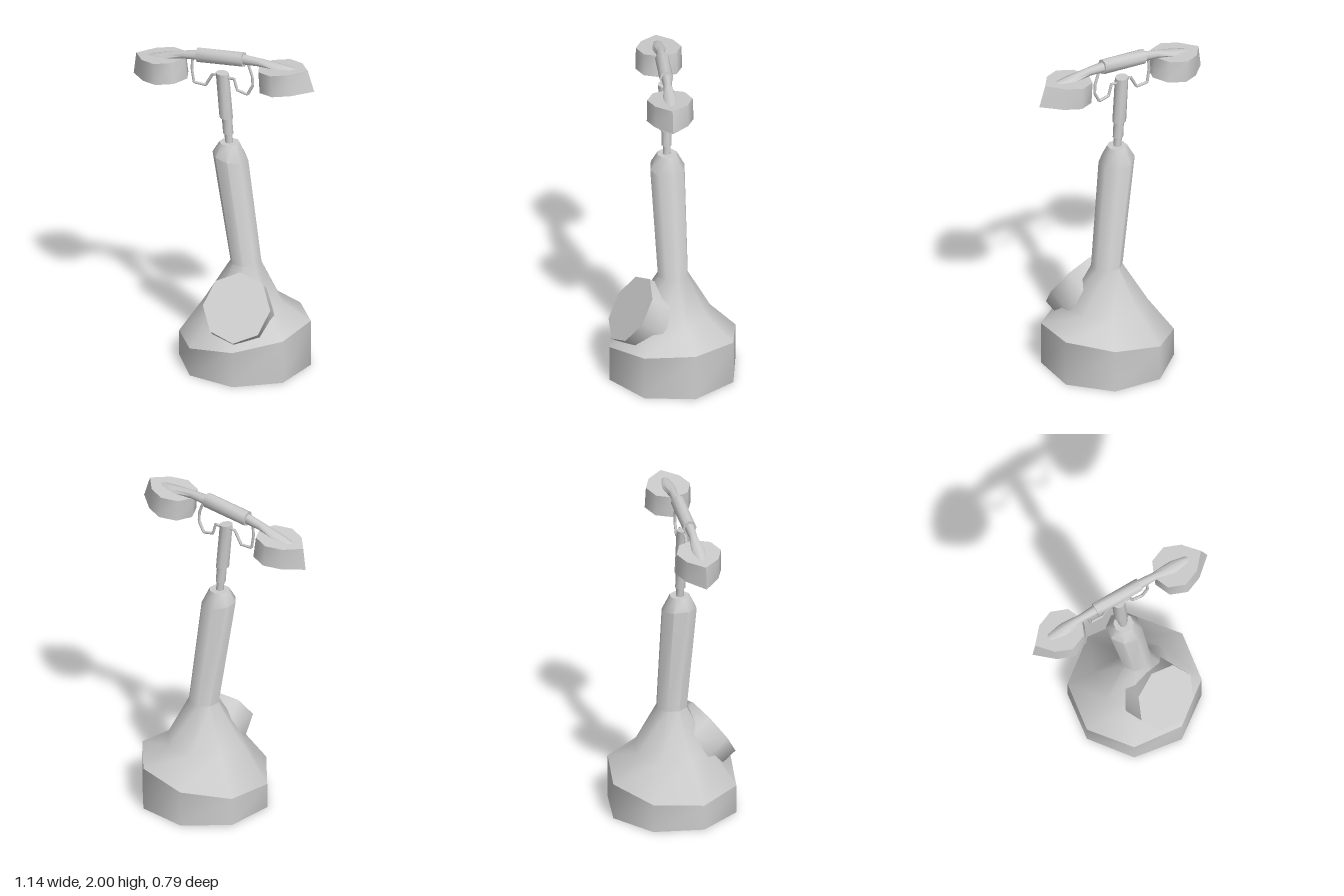
import * as THREE from 'three';
import { toCreasedNormals } from 'three/addons/utils/BufferGeometryUtils.js';

const SIDES = 8;
const CREASE = 0.9;

// Skin closed rings of points, listed bottom to top, and cap both ends
function loft(rings) {
  const n = rings[0].length;
  const pos = [];
  const tri = (a, b, c) => pos.push(...a, ...b, ...c);
  const middle = (ring) => [0, 1, 2].map((k) => ring.reduce((s, p) => s + p[k], 0) / n);
  const first = rings[0], last = rings[rings.length - 1];
  const c0 = middle(first), c1 = middle(last);
  for (let i = 0; i < n; i++) {
    const j = (i + 1) % n;
    for (let r = 0; r + 1 < rings.length; r++) {
      const a = rings[r], b = rings[r + 1];
      tri(a[i], b[i], a[j]);
      tri(b[i], b[j], a[j]);
    }
    tri(c0, first[i], first[j]);
    tri(c1, last[j], last[i]);
  }
  const g = new THREE.BufferGeometry();
  g.setAttribute('position', new THREE.Float32BufferAttribute(pos, 3));
  return toCreasedNormals(g, CREASE);
}

const around = (f) => Array.from({ length: SIDES }, (_, i) => f((i / SIDES) * Math.PI * 2));

// Horizontal ring, leaning by a slope along x
const ring = (cx, cy, r, slope = 0) =>
  around((a) => [cx + r * Math.cos(a), cy + slope * r * Math.cos(a), r * Math.sin(a)]);

// Upright ring for parts that run along x
const crossRing = (x, y, ry, rz) =>
  around((a) => [x, y + ry * Math.cos(a), -rz * Math.sin(a)]);

export function createModel() {
  const model = new THREE.Group();
  const grey = new THREE.MeshStandardMaterial({ color: 0xcccccc });
  grey.name = 'light grey';

  function add(parent, name, geometry) {
    const mesh = new THREE.Mesh(geometry, grey);
    mesh.name = name;
    parent.add(mesh);
    return mesh;
  }

  // Base with a sloping upper rim
  add(model, 'base', loft([ring(0.132, 0, 0.393), ring(0.132, 0.22, 0.393, 0.165)]));

  // Flared foot running into the leaning column
  add(model, 'column', loft([
    ring(0.132, 0.22, 0.393, 0.165),
    ring(0.127, 0.385, 0.235),
    ring(0.138, 0.64, 0.093),
    ring(0.045, 1.31, 0.107, -0.19),
    ring(0.04, 1.4, 0.06),
  ]));

  // Stepped stem
  add(model, 'lowerStem', loft([ring(0.038, 1.39, 0.024), ring(0.032, 1.46, 0.024)]));
  add(model, 'middleStem', loft([ring(0.032, 1.455, 0.031), ring(0.024, 1.56, 0.031)]));
  add(model, 'upperStem', loft([
    ring(0.02, 1.557, 0.041, -0.08),
    ring(-0.003, 1.842, 0.04, -0.08),
  ]));

  // Dial drum set into the front of the foot
  const depth = 0.2;
  const drum = new THREE.CylinderGeometry(0.213, 0.213, depth, SIDES);
  drum.translate(0, -depth / 2, 0);
  const dial = add(model, 'dial', toCreasedNormals(drum, CREASE));
  dial.position.set(0.132, 0.452, 0.262);
  dial.rotation.x = 0.972;
  dial.scale.x = 0.945;

  // Handset, turned and tilted as one
  const handset = new THREE.Group();
  handset.name = 'handset';
  handset.position.set(-0.008, 1.943, 0);
  handset.rotation.set(0, -0.265, 0.1, 'YXZ');
  model.add(handset);

  add(handset, 'grip', loft([
    crossRing(-0.152, 0, 0.047, 0.041),
    crossRing(0.148, 0, 0.047, 0.041),
  ]));

  // Cup outline: an octagon drawn out to a point at the outer end
  const cupRing = (y, tip, k) => around((a) => {
    const c = Math.cos(a);
    const x = c > 0.99 ? tip : 0.382 + 0.142 * k * c;
    return [x, y, 0.138 * k * Math.sin(a)];
  });
  const cup = loft([cupRing(-0.16, 0.592, 1), cupRing(-0.028, 0.562, 0.97)]);
  const arm = loft([
    crossRing(0.14, 0, 0.032, 0.03),
    crossRing(0.25, -0.008, 0.026, 0.025),
    crossRing(0.38, -0.035, 0.028, 0.042),
    crossRing(0.46, -0.043, 0.022, 0.03),
    crossRing(0.5, -0.045, 0.012, 0.008),
  ]);
  for (const [side, turn] of [['left', 0], ['right', Math.PI]]) {
    const end = new THREE.Group();
    end.name = side + 'HandsetEnd';
    end.rotation.y = turn;
    handset.add(end);
    add(end, side + 'Cup', cup);
    add(end, side + 'Arm', arm);
  }

  // Bent wire cradle arms, in line with the handset
  function wire(name, points) {
    const path = new THREE.CurvePath();
    const pts = points.map(([x, y]) => new THREE.Vector3(x, y, x * 0.27));
    for (let i = 0; i + 1 < pts.length; i++) path.add(new THREE.LineCurve3(pts[i], pts[i + 1]));
    add(model, name, new THREE.TubeGeometry(path, 40, 0.009, 6));
  }
  wire('leftCradle', [[0, 1.81], [0.07, 1.82], [0.09, 1.75], [0.155, 1.735], [0.188, 1.8], [0.185, 1.86], [0.16, 1.93]]);
  wire('rightCradle', [[-0.01, 1.83], [-0.065, 1.82], [-0.108, 1.742], [-0.182, 1.745], [-0.195, 1.83], [-0.19, 1.915]]);

  return model;
}
